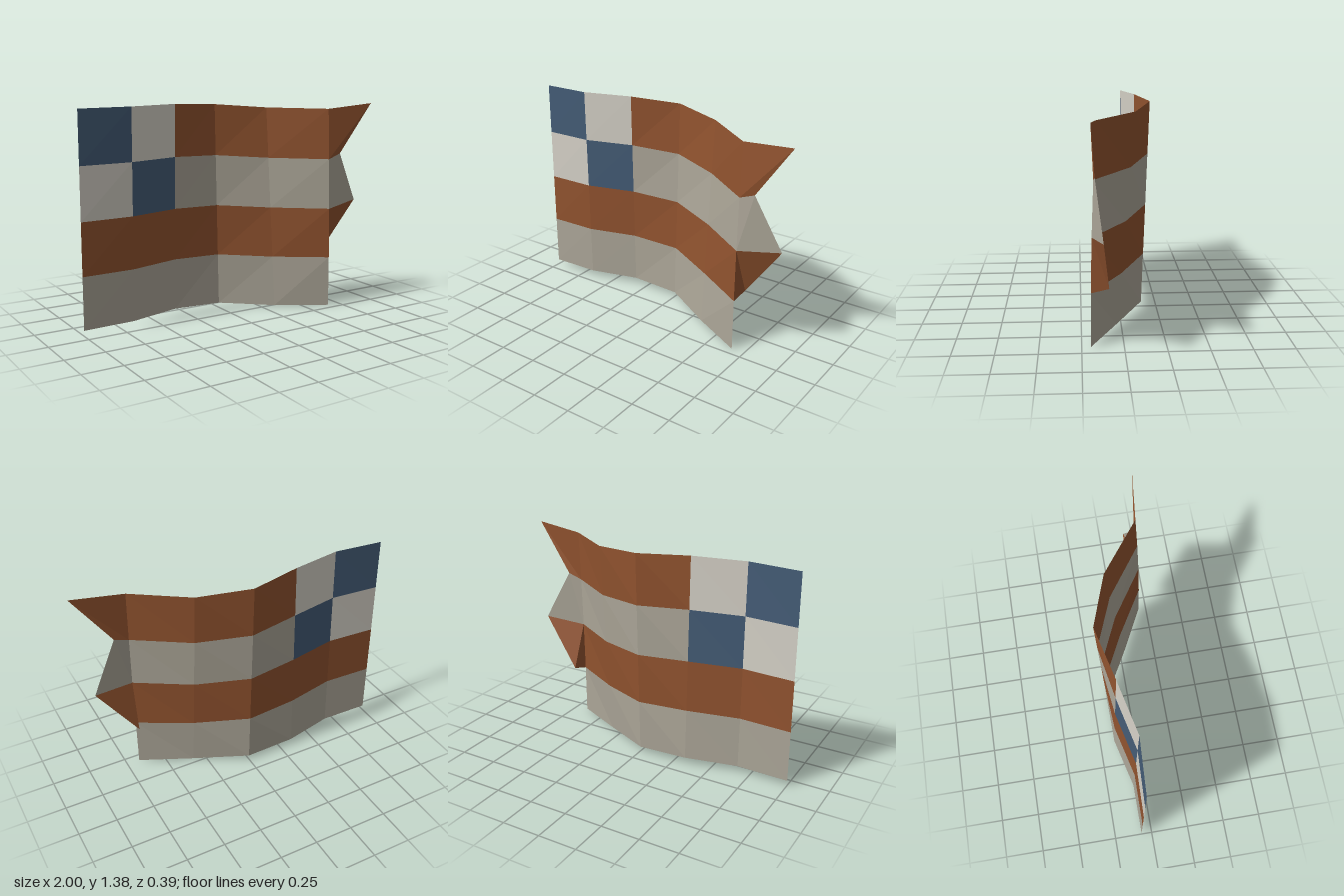
import * as THREE from 'three';

const material = (name, color) =>
  new THREE.MeshStandardMaterial({ name, color, flatShading: true, side: THREE.DoubleSide });

export function createModel() {
  const rust = material('rust', 0x91532f);
  const grey = material('warm grey', 0xaca698);
  const white = material('off white', 0xd5d1c7);
  const blue = material('slate blue', 0x445c76);

  // Cloth columns: [x, y lift, z at the bottom, z at the top]
  const columns = [
    [-1, 0.035, -0.07, -0.065],
    [-0.667, 0.04, -0.07, -0.047],
    [-0.334, 0.045, -0.15, -0.12],
    [0, 0.033, -0.15, -0.197],
    [0.333, 0.008, 0.03, -0.085],
    [0.664, 0, 0.197, 0.16],
  ];
  const rows = 4;
  const rowHeight = 0.333;
  const point = (c, r) => {
    const [x, lift, zLow, zHigh] = columns[c];
    // The folds drift sideways with height; the free edge bows slightly
    const bow = c === 5 ? 0.009 * Math.sin((Math.PI * r) / rows) : 0;
    return [x, lift + r * rowHeight, zLow + ((zHigh - zLow) * r) / rows + bow];
  };

  const flag = new THREE.Group();
  flag.name = 'tatteredFlag';

  // Each quad is bottom left, bottom right, top right, top left, split from the first corner
  const addPatch = (name, mat, quads) => {
    const positions = quads.flatMap(([a, b, c, d]) => [a, b, c, a, c, d].flat());
    const geometry = new THREE.BufferGeometry();
    geometry.setAttribute('position', new THREE.Float32BufferAttribute(positions, 3));
    geometry.computeVertexNormals();
    const mesh = new THREE.Mesh(geometry, mat);
    mesh.name = name;
    flag.add(mesh);
  };
  const cell = (c, r) => [point(c, r), point(c + 1, r), point(c + 1, r + 1), point(c, r + 1)];
  const strip = (r, from, to) => {
    const quads = [];
    for (let c = from; c < to; c++) quads.push(cell(c, r));
    return quads;
  };

  // Horizontal stripes
  addPatch('bottomStripe', grey, strip(0, 0, 5));
  addPatch('lowerRustStripe', rust, strip(1, 0, 5));
  addPatch('upperGreyStripe', grey, strip(2, 2, 5));
  addPatch('topRustStripe', rust, strip(3, 2, 5));

  // Chequered corner
  addPatch('blueSquares', blue, [cell(0, 3), cell(1, 2)]);
  addPatch('whiteSquares', white, [cell(1, 3), cell(0, 2)]);

  // Torn ends beyond the free edge
  const topTip = [1, 1.363, 0.195];
  const notch = [0.76, 1.033, 0.17];
  const middleTip = [0.93, 0.7, 0.127];
  const lowerTear = [0.68, 0.363, 0.088];
  addPatch('topTornEnd', rust, [[point(5, 3), notch, topTip, point(5, 4)]]);
  addPatch('middleTornEnd', grey, [[point(5, 2), middleTip, notch, point(5, 3)]]);
  addPatch('lowerTornEnd', rust, [[point(5, 2), point(5, 1), lowerTear, middleTip]]);

  return flag;
}
